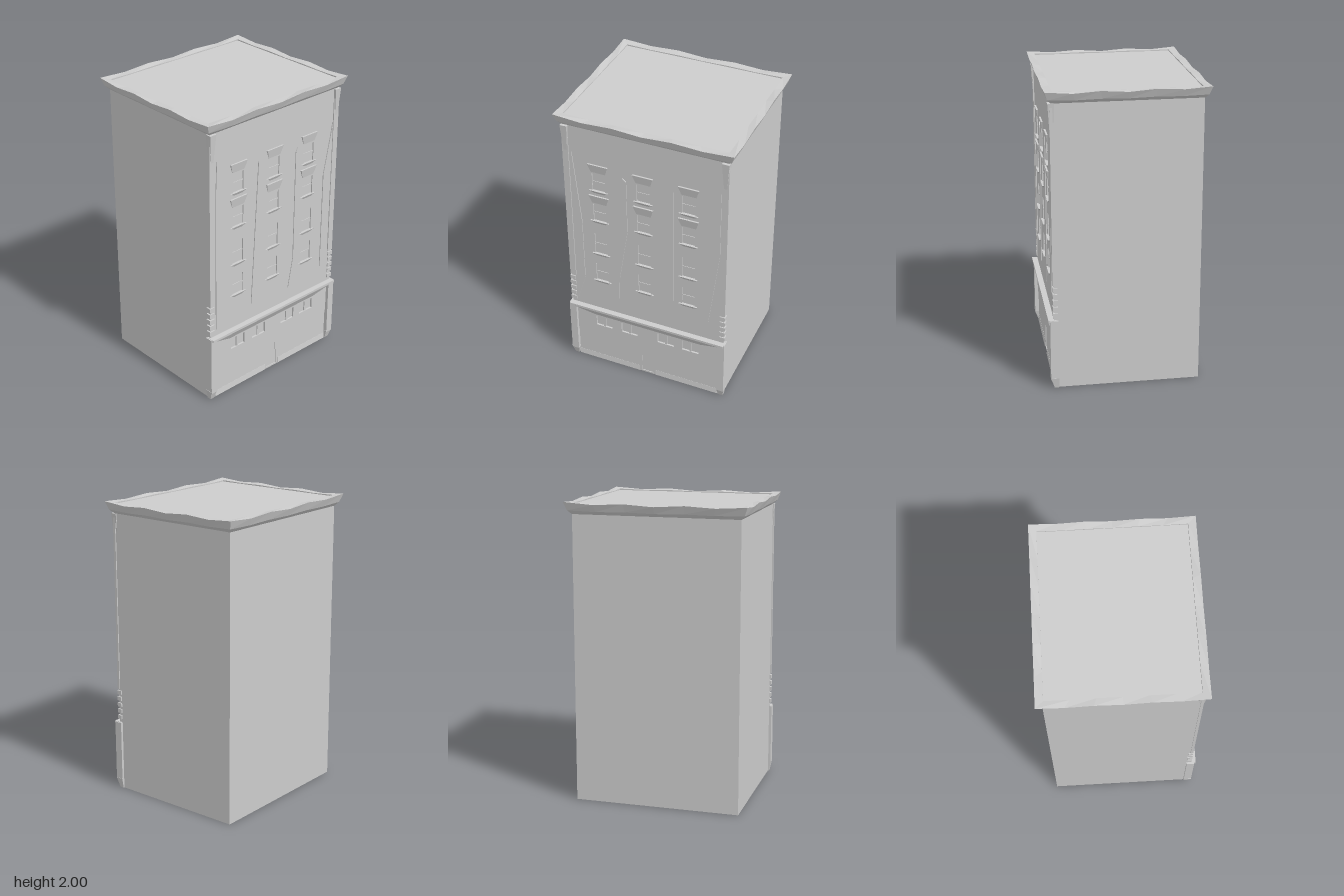
import * as THREE from 'three';

const stone = new THREE.MeshStandardMaterial({ color: 0xcccccc, flatShading: true });
stone.name = 'grey stone';

export function createModel() {
  const group = new THREE.Group();
  const add = (name, geometry, x = 0, y = 0, z = 0) => {
    const mesh = new THREE.Mesh(geometry, stone);
    mesh.name = name;
    mesh.position.set(x, y, z);
    group.add(mesh);
    return mesh;
  };
  const box = (name, x0, x1, y0, y1, z0, z1) =>
    add(name, new THREE.BoxGeometry(x1 - x0, y1 - y0, z1 - z0), (x0 + x1) / 2, (y0 + y1) / 2, (z0 + z1) / 2);
  const shapeOf = (points) => new THREE.Shape(points.map(([x, y]) => new THREE.Vector2(x, y)));
  const rect = (x0, x1, y0, y1) => [[x0, y0], [x1, y0], [x1, y1], [x0, y1]];
  const plate = (name, points, z, depth, holes = []) => {
    const shape = shapeOf(points);
    holes.forEach((h) => shape.holes.push(shapeOf(h)));
    return add(name, new THREE.ExtrudeGeometry(shape, { depth, bevelEnabled: false }), 0, 0, z);
  };
  // Block whose front slopes between a bottom and a top depth, inset at the bottom
  const wedge = (name, x0, x1, y0, y1, back, zBottom, zTop, inset) => {
    const g = new THREE.BoxGeometry(1, 1, 1);
    const p = g.attributes.position;
    for (let i = 0; i < p.count; i++) {
      const low = p.getY(i) < 0;
      const front = p.getZ(i) > 0;
      const side = low ? inset : 0;
      p.setXYZ(i, p.getX(i) < 0 ? x0 + side : x1 - side, low ? y0 : y1, front ? (low ? zBottom : zTop) : back);
    }
    g.computeVertexNormals();
    add(name, g);
  };

  // Main block and roof
  box('body', -0.555, 0.555, 0, 1.93, -0.48, 0.473);
  box('roof', -0.552, 0.552, 1.92, 1.983, -0.476, 0.468);

  // Flaring cornice with an uneven upper edge, lofted around the four sides
  const corners = [[-1, 1], [1, 1], [1, -1], [-1, -1]];
  const waves = [0, -0.014, -0.003, -0.015, -0.002, -0.012];
  const steps = waves.length;
  const rings = [
    [0.555, 0.48, 1.92, 0],
    [0.58, 0.502, 1.945, 0.35],
    [0.6, 0.52, 2, 1],
    [0.552, 0.47, 1.992, 0.3],
    [0.552, 0.47, 1.97, 0],
  ];
  const verts = [];
  const index = [];
  const count = 4 * steps;
  rings.forEach(([hx, hz, y, wave]) => {
    corners.forEach(([ax, az], c) => {
      const [bx, bz] = corners[(c + 1) % 4];
      waves.forEach((w, s) => {
        const t = s / steps;
        verts.push(hx * (ax + (bx - ax) * t), y + w * wave, hz * (az + (bz - az) * t));
      });
    });
  });
  for (let r = 0; r < rings.length - 1; r++) {
    for (let i = 0; i < count; i++) {
      const j = (i + 1) % count;
      const a = r * count + i, b = r * count + j;
      index.push(a, b, b + count, a, b + count, a + count);
    }
  }
  const cornice = new THREE.BufferGeometry();
  cornice.setAttribute('position', new THREE.Float32BufferAttribute(verts, 3));
  cornice.setIndex(index);
  cornice.computeVertexNormals();
  add('cornice', cornice);

  // Upper facade with shallow window openings
  const columns = [-0.32, -0.01, 0.3];
  const rows = [[1.47, 1.6], [1.23, 1.36], [0.96, 1.12], [0.73, 0.87]];
  const openings = [];
  columns.forEach((x) => rows.forEach(([y0, y1]) => openings.push(rect(x - 0.045, x + 0.045, y0, y1))));
  plate('upper facade', rect(-0.555, 0.555, 0.47, 1.925), 0.472, 0.009, openings);

  // Window hoods, sills and mullions
  columns.forEach((x) => rows.forEach(([y0, y1], r) => {
    if (r < 2) wedge('window hood', x - 0.07, x + 0.07, y1 + 0.01, y1 + 0.07, 0.474, 0.483, 0.493, 0.02);
    wedge('window sill', x - 0.065, x + 0.065, y0 - 0.02, y0, 0.474, 0.482, 0.492, 0.03);
    box('window crossbar', x - 0.045, x + 0.045, (y0 + y1) / 2 - 0.004, (y0 + y1) / 2 + 0.004, 0.471, 0.477);
  }));

  // Thin tapering ribs between the window bays
  const ribs = [
    [[-0.51, 0.53], [-0.45, 0.72], [-0.45, 1.2], [-0.5, 1.73], [-0.51, 1.48]],
    [[-0.2, 0.6], [-0.19, 0.8], [-0.125, 1.2], [-0.125, 1.6], [-0.15, 1.62]],
    [[0.14, 0.58], [0.195, 0.73], [0.195, 1.61], [0.18, 1.58], [0.18, 0.8]],
    [[0.445, 0.63], [0.515, 1.2], [0.515, 1.69], [0.5, 1.6], [0.445, 1.33]],
  ];
  ribs.forEach((points) => plate('facade rib', points, 0.475, 0.012));

  // Corner strips with quoins, mirrored
  for (const s of [-1, 1]) {
    const strip = (name, a, b, y0, y1, z0, z1) =>
      box(name, Math.min(s * a, s * b), Math.max(s * a, s * b), y0, y1, z0, z1);
    strip('corner strip', 0.52, 0.562, 0.72, 1.92, 0.47, 0.488);
    wedge('corner bracket', s * 0.54 - 0.024, s * 0.54 + 0.024, 1.72, 1.92, 0.46, 0.487, 0.5, 0.015);
    for (let i = 0; i < 5; i++) {
      strip('quoin', 0.525, 0.565, 0.505 + i * 0.044, 0.532 + i * 0.044, 0.455, 0.488);
    }
    strip('shopfront pier', 0.522, 0.572, 0.06, 0.48, 0.455, 0.508);
    wedge('pier foot', s * 0.547 - 0.027, s * 0.547 + 0.027, 0, 0.07, 0.455, 0.485, 0.508, 0.012);
  }

  // Shopfront with transom windows and door
  const transoms = [-0.32, -0.13, 0.14, 0.32].map((x) => rect(x - 0.06, x + 0.06, 0.32, 0.4));
  plate('shopfront upper wall', rect(-0.524, 0.524, 0.24, 0.47), 0.472, 0.014, transoms);
  [-0.32, -0.13, 0.14, 0.32].forEach((x) => box('transom mullion', x - 0.008, x + 0.008, 0.32, 0.4, 0.471, 0.482));
  const doorway = [[-0.045, 0.012], [0.045, 0.012], [0.035, 0.185], [-0.035, 0.185]];
  plate('shopfront lower wall', rect(-0.524, 0.524, 0, 0.236), 0.472, 0.009, [doorway]);
  plate('door', doorway, 0.472, 0.004);
  wedge('base board left', -0.52, -0.06, 0.005, 0.045, 0.472, 0.487, 0.482, 0);
  wedge('base board right', 0.06, 0.52, 0.005, 0.045, 0.472, 0.487, 0.482, 0);

  // Sloping ledge above the shopfront
  wedge('ledge soffit', -0.55, 0.55, 0.41, 0.468, 0.472, 0.486, 0.518, 0.16);
  box('ledge', -0.565, 0.565, 0.466, 0.482, 0.46, 0.519);

  return group;
}
